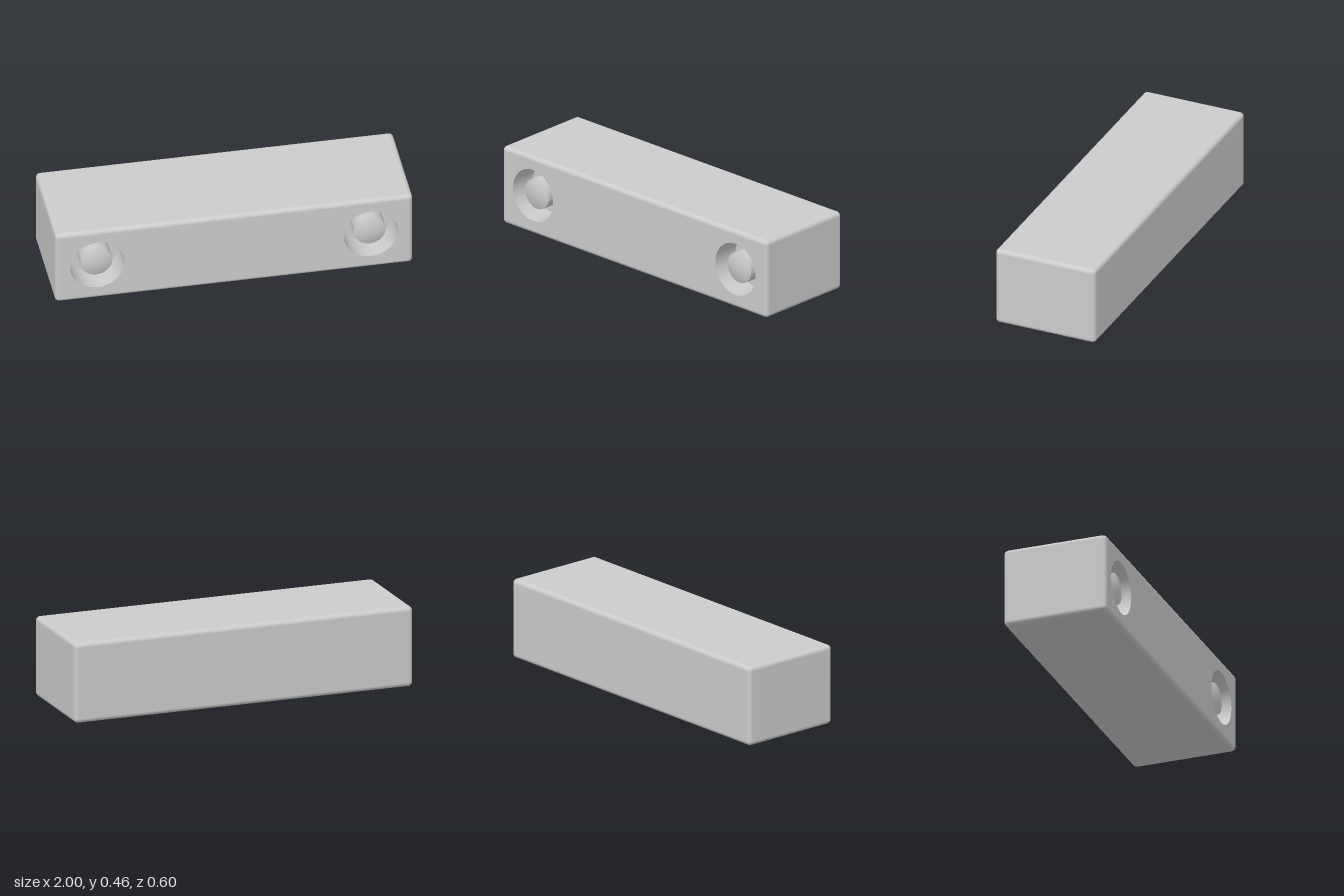
import * as THREE from 'three';
import { toCreasedNormals } from 'three/addons/utils/BufferGeometryUtils.js';
import { RoundedBoxGeometry } from 'three/addons/geometries/RoundedBoxGeometry.js';

const W = 2, H = 0.458, D = 0.604, R = 0.025;
const CY = H / 2, FRONT = D / 2;
const LAMP_X = 0.765, RIM = 0.152, BULB = 0.089, DEPTH = 0.16;

const material = new THREE.MeshStandardMaterial({ color: 0xcccccc });

function add(parent, name, geometry) {
  const mesh = new THREE.Mesh(geometry, material);
  mesh.name = name;
  parent.add(mesh);
  return mesh;
}

// Rounded box with its flat front panel left open
function openHousing() {
  const box = new RoundedBoxGeometry(W, H, D, 6, R);
  const p = box.attributes.position, n = box.attributes.normal;
  const pos = [], nor = [];
  for (let t = 0; t < p.count; t += 3) {
    const k = [t, t + 1, t + 2];
    if (k.every(i => p.getZ(i) > FRONT - 1e-5)) continue;
    for (const i of k) {
      pos.push(p.getX(i), p.getY(i), p.getZ(i));
      nor.push(n.getX(i), n.getY(i), n.getZ(i));
    }
  }
  const g = new THREE.BufferGeometry();
  g.setAttribute('position', new THREE.Float32BufferAttribute(pos, 3));
  g.setAttribute('normal', new THREE.Float32BufferAttribute(nor, 3));
  return g;
}

// Flat panel with a round hole for each lamp
function frontPanel() {
  const x = W / 2 - R, y = H / 2 - R;
  const shape = new THREE.Shape([[-x, -y], [x, -y], [x, y], [-x, y]].map(c => new THREE.Vector2(...c)));
  for (const side of [-1, 1])
    shape.holes.push(new THREE.Path().absarc(side * LAMP_X, 0, RIM, 0, Math.PI * 2, true));
  return new THREE.ShapeGeometry(shape, 32);
}

// Turned part whose axis points forwards; points are [radius, z]
function turned(points) {
  const profile = points.map(c => new THREE.Vector2(...c));
  return toCreasedNormals(new THREE.LatheGeometry(profile, 64).rotateX(Math.PI / 2), 0.6);
}

export function createModel() {
  const group = new THREE.Group();
  group.name = 'lampBar';
  add(group, 'housing', openHousing()).position.y = CY;
  add(group, 'frontPanel', frontPanel()).position.set(0, CY, FRONT);

  // Shallow domed end of the bulb
  const dome = [];
  for (let i = 0; i <= 6; i++) {
    const t = 1 - i / 6;
    dome.push([BULB * t, -0.014 - 0.018 * t * t]);
  }

  for (const side of [-1, 1]) {
    const lamp = new THREE.Group();
    lamp.name = side > 0 ? 'leftLamp' : 'rightLamp';
    lamp.position.set(side * LAMP_X, CY, FRONT);
    group.add(lamp);
    // Straight-walled socket with a flat floor around the bulb
    add(lamp, 'socket', turned([[RIM, 0], [RIM, -DEPTH], [BULB, -DEPTH]]));
    add(lamp, 'bulb', turned([[BULB, -DEPTH], ...dome]));
  }
  return group;
}
